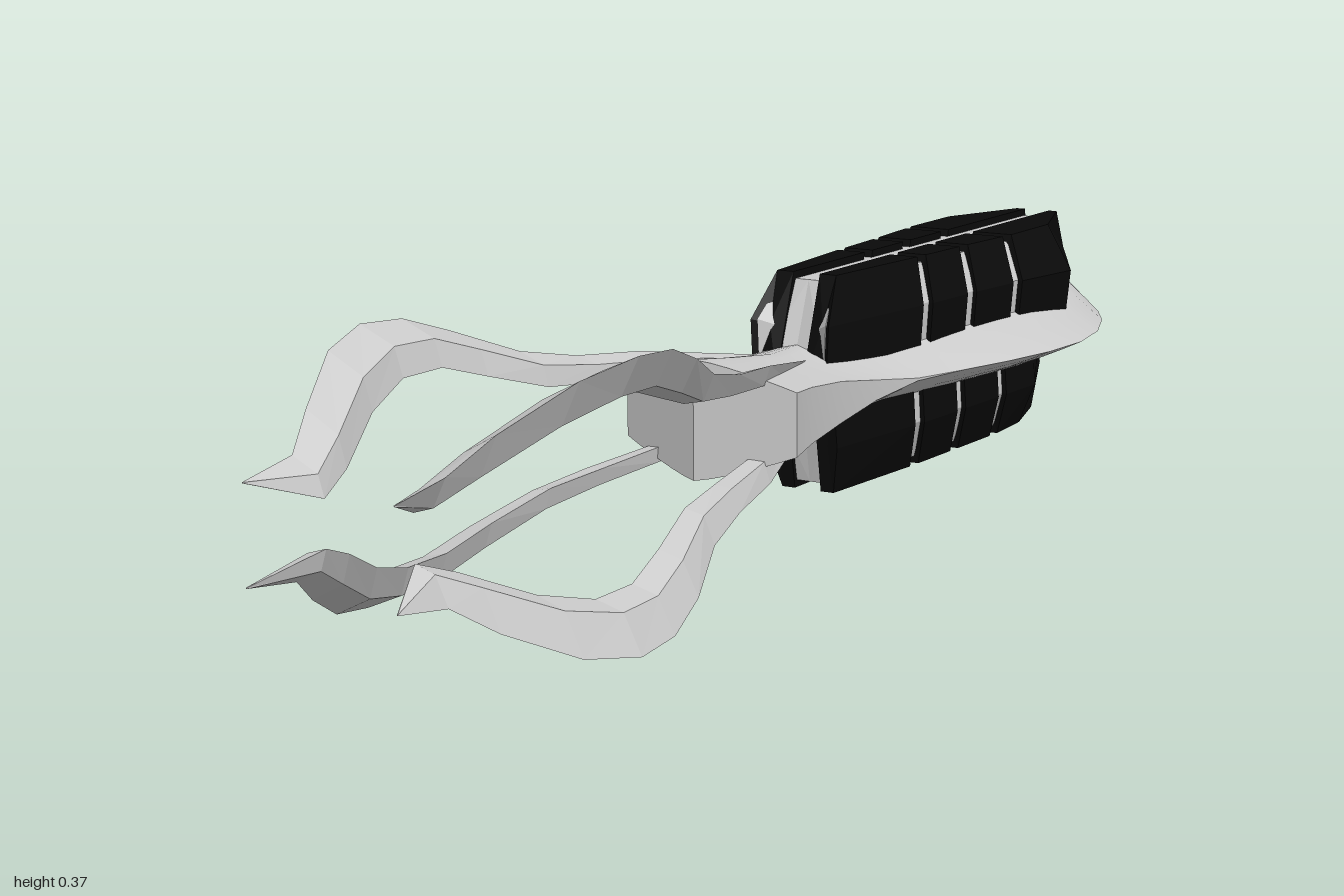
import * as THREE from 'three';
import { toCreasedNormals } from 'three/addons/utils/BufferGeometryUtils.js';

const MID = 0.186; // height of the symmetry plane
const grey = new THREE.MeshStandardMaterial({ color: 0xcccccc });
const greyFlat = new THREE.MeshStandardMaterial({ color: 0xcccccc, flatShading: true });
const black = new THREE.MeshStandardMaterial({ color: 0x0a0a0a, flatShading: true });

// Linear lookup in a table of [z, a, b, ...] rows sorted by z
function lookup(table, z, col = 1) {
  if (z <= table[0][0]) return table[0][col];
  for (let i = 1; i < table.length; i++) {
    const a = table[i - 1], b = table[i];
    if (z <= b[0]) return a[col] + (b[col] - a[col]) * (z - a[0]) / (b[0] - a[0]);
  }
  return table[table.length - 1][col];
}

// Skin over closed rings ordered back to front, counter-clockwise from the front;
// sx and sy mirror the result
function loft(rings, sx = 1, sy = 1, noseZ = null) {
  const pos = [];
  const tri = (a, b, c) => {
    for (const p of sx * sy < 0 ? [a, c, b] : [a, b, c]) pos.push(p[0] * sx, p[1] * sy, p[2]);
  };
  const centre = (r) => [0, 1, 2].map((k) => r.reduce((t, p) => t + p[k], 0) / r.length);
  const n = rings[0].length, last = rings[rings.length - 1];
  const c0 = centre(rings[0]), c1 = centre(last);
  if (noseZ !== null) c1[2] = noseZ;
  for (let j = 0; j < n; j++) {
    const k = (j + 1) % n;
    for (let i = 0; i < rings.length - 1; i++) {
      const a = rings[i][j], b = rings[i][k], c = rings[i + 1][k], d = rings[i + 1][j];
      tri(a, b, c);
      tri(a, c, d);
    }
    tri(c0, rings[0][k], rings[0][j]);
    tri(c1, last[j], last[k]);
  }
  const g = new THREE.BufferGeometry();
  g.setAttribute('position', new THREE.Float32BufferAttribute(pos, 3));
  g.computeVertexNormals();
  return g;
}

function add(parent, name, geometry, material) {
  const m = new THREE.Mesh(geometry, material);
  m.name = name;
  parent.add(m);
}

// Hull stations: z, half width, half height at the middle, half height at the rim
const HULL = [
  [-1, 0.004, 0.003, 0], [-0.99, 0.025, 0.012, 0], [-0.97, 0.048, 0.03, 0], [-0.93, 0.08, 0.06, 0],
  [-0.87, 0.122, 0.083, 0], [-0.8, 0.16, 0.093, 0], [-0.7, 0.197, 0.087, 0], [-0.6, 0.213, 0.08, 0],
  [-0.5, 0.206, 0.075, 0], [-0.4, 0.185, 0.072, 0], [-0.3, 0.157, 0.07, 0], [-0.2, 0.132, 0.065, 0.002],
  [-0.1, 0.117, 0.06, 0.015], [0, 0.115, 0.058, 0.03], [0.1, 0.124, 0.07, 0.04], [0.21, 0.138, 0.085, 0.045],
];

function hullGeometry() {
  const steps = 12;
  const rings = HULL.map(([z, w, h, e]) => {
    const ring = [];
    for (const side of [1, -1]) {
      for (let i = 0; i <= steps; i++) {
        const s = side * (1 - 2 * i / steps);
        const y = e + (h - e) * (1 - Math.pow(Math.abs(s), 1.3));
        // blunt V-shaped front end
        const sweep = z > 0.2 ? 0.045 * Math.abs(s) : 0;
        ring.push([w * s, side * y, z - sweep]);
      }
    }
    return ring;
  });
  return toCreasedNormals(loft(rings, 1, 1, 0.21), 0.5);
}

// Half width of the armour along z
const UPPER = [[-0.925, 0.03], [-0.7, 0.147], [-0.55, 0.123], [-0.42, 0.108], [-0.3, 0.098], [-0.05, 0.065]];
const LOWER = [[-0.84, 0.03], [-0.66, 0.106], [-0.55, 0.1], [-0.42, 0.093], [-0.3, 0.086], [-0.08, 0.06]];

// One armour section; cut gives z at the base, the shoulder and the top
function armourRing(width, cut, inner, inset, mid, top) {
  const w = (z, f) => Math.max(inner + 0.004, (lookup(width, z) - inset) * f);
  const [zb, zm, zt] = cut;
  return [
    [inner, 0.012, zb], [w(zb, 0.94), 0.012, zb], [w(zm, 1), mid, zm],
    [w(zt, 0.69), top, zt], [inner, top, zt],
  ];
}

function armour(parent, name, width, sy, mid, top, rear, front) {
  const peak = width[1][0];
  const cut = (z) => [z, z, z - 0.03];
  const plates = [
    [rear, cut(peak), cut(-0.565)], [cut(-0.54), cut(-0.435)],
    [cut(-0.41), cut(-0.31)], [cut(-0.285), front],
  ];
  const group = new THREE.Group();
  group.name = name;
  parent.add(group);
  const ends = [rear.map((z) => z + 0.004), cut(peak), cut(-0.55), cut(-0.3), front.map((z) => z - 0.006)];
  for (const sx of [1, -1]) {
    for (const cuts of plates) {
      const rings = cuts.map((c) => armourRing(width, c, 0.022, 0, mid, top));
      add(group, 'armourPlate', loft(rings, sx, sy), black);
    }
    // core that shows as the spine and in the gaps between plates
    const core = ends.map((c) => armourRing(width, c, 0, 0.009, mid, top - 0.011));
    add(group, 'armourCore', loft(core, sx, sy), greyFlat);
  }
}

// Arm stations: z, outer ridge x and y, inner ridge x and y, half thickness
const ARM = [
  [-0.02, 0.045, 0.05, 0.035, 0.04, 0.003], [0.08, 0.075, 0.066, 0.05, 0.045, 0.01],
  [0.18, 0.105, 0.082, 0.072, 0.05, 0.014], [0.3, 0.13, 0.093, 0.09, 0.06, 0.015],
  [0.4, 0.152, 0.113, 0.106, 0.069, 0.016], [0.5, 0.19, 0.153, 0.13, 0.098, 0.018],
  [0.58, 0.206, 0.18, 0.143, 0.122, 0.019], [0.66, 0.21, 0.185, 0.143, 0.122, 0.02],
  [0.75, 0.187, 0.168, 0.12, 0.098, 0.02], [0.85, 0.14, 0.118, 0.08, 0.052, 0.018],
  [0.91, 0.112, 0.077, 0.065, 0.03, 0.014], [1, 0.11, 0.063, 0.109, 0.062, 0.001],
];

function armGeometry(sx, sy) {
  const rings = ARM.map(([z, ox, oy, ix, iy, t]) => {
    const mx = ix + (ox - ix) * 0.4, my = iy + (oy - iy) * 0.4, d = t * Math.SQRT1_2;
    return [[ox, oy, z], [mx - d, my + d, z], [ix, iy, z], [mx + d, my - d, z]];
  });
  return loft(rings, sx, sy);
}

export function createModel() {
  const model = new THREE.Group();
  model.name = 'squidShip';
  const body = new THREE.Group();
  body.name = 'body';
  body.position.y = MID;
  model.add(body);

  add(body, 'hull', hullGeometry(), grey);
  armour(body, 'upperArmour', UPPER, 1, 0.095, 0.162, [-0.91, -0.925, -0.88], [-0.05, -0.05, -0.1]);
  armour(body, 'lowerArmour', LOWER, -1, 0.09, 0.163, [-0.83, -0.84, -0.81], [-0.08, -0.085, -0.105]);

  // Four curved arms reaching forward
  for (const sx of [1, -1]) {
    for (const sy of [1, -1]) {
      add(body, `${sy > 0 ? 'upper' : 'lower'}${sx > 0 ? 'Left' : 'Right'}Arm`, armGeometry(sx, sy), greyFlat);
    }
  }
  return model;
}
